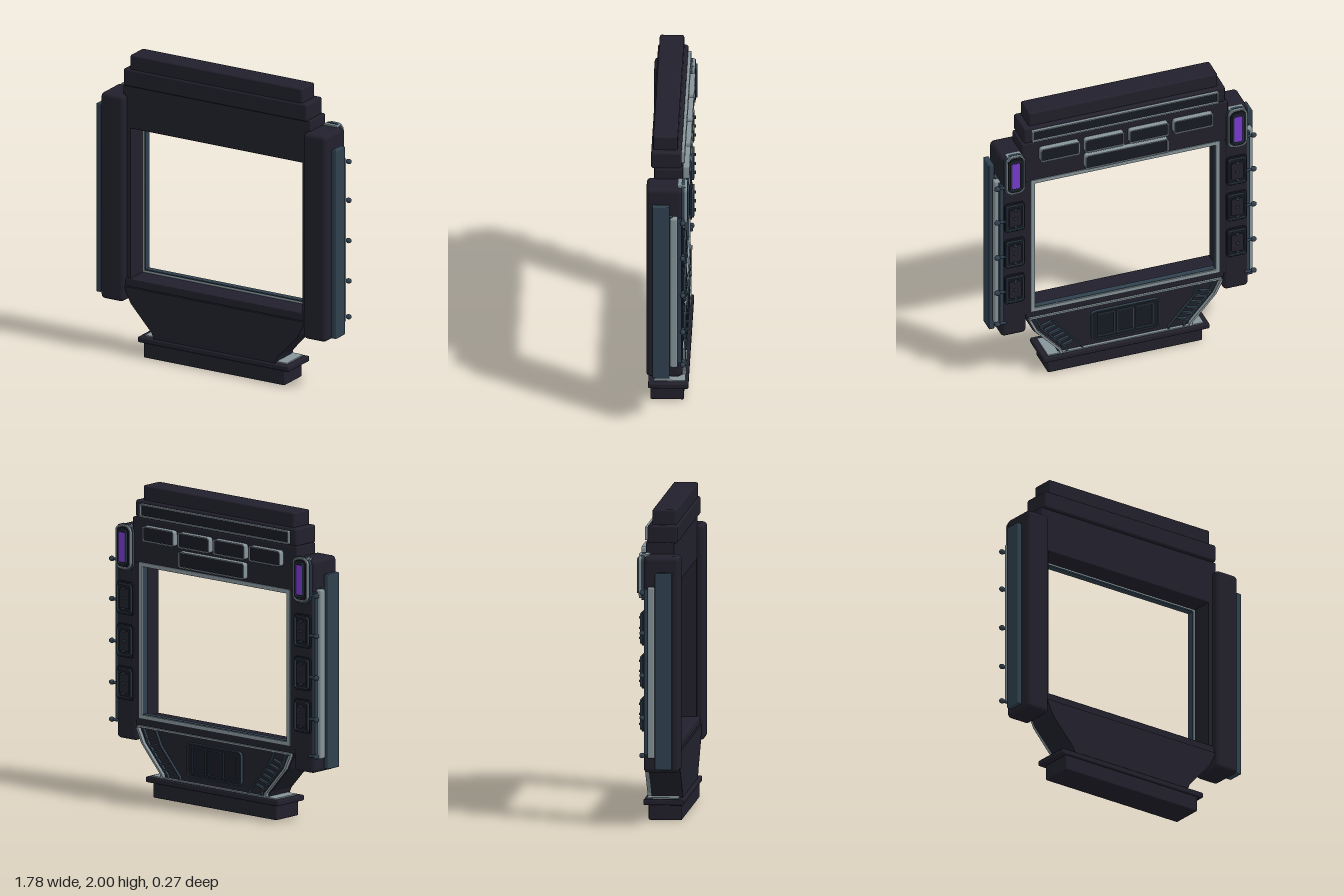
import * as THREE from 'three';
import { RoundedBoxGeometry } from 'three/addons/geometries/RoundedBoxGeometry.js';

const mat = (name, color, side = THREE.FrontSide) => new THREE.MeshStandardMaterial({ name, color, side });

export function createModel() {
  const M = {
    body: mat('dark body', 0x21202c),
    panel: mat('panel black', 0x171a22),
    slate: mat('slate blue', 0x30404e),
    grey: mat('light grey', 0x86949a),
    glow: mat('purple glow', 0x7a3ad2),
  };
  const root = new THREE.Group();
  root.name = 'displayFrame';

  const add = (name, geo, m, x = 0, y = 0, z = 0, parent = root) => {
    const mesh = new THREE.Mesh(geo, m);
    mesh.name = name;
    mesh.position.set(x, y, z);
    parent.add(mesh);
    return mesh;
  };
  // Box given by its limits, with optional rounded edges
  const box = (name, m, x0, x1, y0, y1, z0, z1, r = 0, parent = root) => {
    const s = [x1 - x0, y1 - y0, z1 - z0];
    const geo = r ? new RoundedBoxGeometry(...s, 3, r) : new THREE.BoxGeometry(...s);
    return add(name, geo, m, (x0 + x1) / 2, (y0 + y1) / 2, (z0 + z1) / 2, parent);
  };
  const roundRect = (w, h, r, P = THREE.Shape) => {
    const s = new P(), a = w / 2, b = h / 2;
    s.moveTo(-a + r, -b);
    s.lineTo(a - r, -b); s.absarc(a - r, -b + r, r, -Math.PI / 2, 0);
    s.lineTo(a, b - r); s.absarc(a - r, b - r, r, 0, Math.PI / 2);
    s.lineTo(-a + r, b); s.absarc(-a + r, b - r, r, Math.PI / 2, Math.PI);
    s.lineTo(-a, -b + r); s.absarc(-a + r, -b + r, r, Math.PI, Math.PI * 1.5);
    return s;
  };
  const extrude = (shape, depth) => new THREE.ExtrudeGeometry(shape, { depth, bevelEnabled: false, curveSegments: 5 });
  // Rounded plate or rim spanning z0 to z1
  const plate = (name, m, x, y, w, h, r, z0, z1, parent = root) =>
    add(name, extrude(roundRect(w, h, r), z1 - z0), m, x, y, z0, parent);
  const rim = (name, m, x, y, w, h, r, t, z0, z1, parent = root) => {
    const s = roundRect(w, h, r);
    s.holes.push(roundRect(w - 2 * t, h - 2 * t, Math.max(r - t, 0.002), THREE.Path));
    return add(name, extrude(s, z1 - z0), m, x, y, z0, parent);
  };
  const poly = (pts) => new THREE.Shape(pts.map(([x, y]) => new THREE.Vector2(x, y)));

  // Stepped header
  box('topCap', M.body, -0.637, 0.637, 1.895, 2, -0.055, 0.1, 0.012);
  box('upperBeam', M.body, -0.68, 0.68, 1.79, 1.905, -0.08, 0.112, 0.014);
  box('header', M.body, -0.695, 0.695, 1.503, 1.795, -0.09, 0.09, 0.008);
  rim('upperBeamRim', M.grey, 0, 1.845, 1.26, 0.085, 0.008, 0.009, -0.1, -0.078);
  plate('upperBeamInset', M.panel, 0, 1.845, 1.25, 0.075, 0.006, -0.086, -0.078);

  // Header panels on the back
  const headerPanel = (x, y, w, h) => {
    rim('headerPanelRim', M.grey, x, y, w, h, 0.018, 0.008, -0.128, -0.088);
    plate('headerPanel', M.panel, x, y, w - 0.014, h - 0.014, 0.012, -0.12, -0.088);
  };
  [-0.45, -0.15, 0.15, 0.45].forEach((x) => headerPanel(x, 1.705, 0.265, 0.1));
  headerPanel(0, 1.58, 0.56, 0.105);

  // Trim lining the opening
  rim('openingTrim', M.grey, 0, 1.003, 1.276, 1.012, 0.004, 0.026, -0.095, -0.055);
  rim('openingInnerLine', M.slate, 0, 1.003, 1.236, 0.972, 0.003, 0.009, -0.085, -0.045);
  box('sill', M.body, -0.668, 0.668, 0.45, 0.5, -0.085, 0.11, 0.006);
  box('sillBackTrim', M.grey, -0.65, 0.65, 0.44, 0.452, -0.097, 0.1);

  // Columns, mirrored
  for (const s of [-1, 1]) {
    const g = new THREE.Group();
    g.name = s > 0 ? 'leftColumn' : 'rightColumn';
    root.add(g);
    const sbox = (name, m, x0, x1, ...rest) =>
      box(name, m, Math.min(s * x0, s * x1), Math.max(s * x0, s * x1), ...rest, g);
    sbox('jamb', M.body, 0.637, 0.7, 0.48, 1.52, -0.085, 0.09, 0);
    sbox('column', M.body, 0.665, 0.835, 0.345, 1.725, -0.09, 0.138, 0.028);
    sbox('sideBlade', M.slate, 0.853, 0.89, 0.37, 1.63, -0.012, 0.098, 0.006);
    sbox('bladeMount', M.slate, 0.825, 0.858, 0.44, 1.54, -0.03, 0.02, 0);
    sbox('sideRod', M.grey, 0.828, 0.872, 0.44, 1.535, -0.062, -0.014, 0.012);
    sbox('rearEdge', M.slate, 0.822, 0.845, 0.46, 1.52, -0.085, -0.06, 0);

    // Lamp
    const x = s * 0.75;
    plate('lampBase', M.slate, x, 1.59, 0.14, 0.3, 0.05, -0.105, -0.085, g);
    rim('lampRim', M.grey, x, 1.595, 0.125, 0.285, 0.045, 0.009, -0.122, -0.1, g);
    plate('lampHousing', M.panel, x, 1.595, 0.1, 0.255, 0.035, -0.125, -0.1, g);
    rim('lampBezel', M.slate, x, 1.595, 0.075, 0.225, 0.02, 0.009, -0.135, -0.12, g);
    plate('lamp', M.glow, x, 1.595, 0.052, 0.19, 0.006, -0.131, -0.124, g);
    plate('columnTopTrim', M.grey, x, 1.725, 0.1, 0.02, 0.006, -0.11, -0.06, g);

    // Key panels and outer knobs
    for (const y of [1.26, 0.985, 0.71]) {
      plate('keyBase', M.panel, x, y, 0.135, 0.215, 0.02, -0.102, -0.085, g);
      rim('keyRim', M.slate, x, y, 0.12, 0.19, 0.018, 0.008, -0.115, -0.1, g);
      plate('key', M.body, x, y, 0.08, 0.13, 0.012, -0.112, -0.1, g);
      for (const dy of [-0.065, 0, 0.065]) plate('keyDot', M.slate, x, y + dy, 0.022, 0.014, 0.004, -0.124, -0.11, g);
    }
    for (const y of [1.5, 1.24, 0.97, 0.7, 0.46]) {
      const stem = add('knobStem', new THREE.CylinderGeometry(0.009, 0.009, 0.06, 10), M.slate, s * 0.835, y, -0.095, g);
      stem.rotation.z = Math.PI / 2;
      const knob = add('knob', new THREE.SphereGeometry(0.017, 12, 8), M.slate, s * 0.865, y, -0.095, g);
      knob.scale.x = 1.2;
    }

    // Skirt edge trim and ladder ribs on the back
    const edge = [[0.655, 0.44], [0.61, 0.345], [0.45, 0.165], [0.445, 0.14]];
    const strip = (o, t) => poly([...edge.map(([a, b]) => [s * (a - o), b]),
      ...edge.map(([a, b]) => [s * (a - o - t), b]).reverse()]);
    add('skirtTrim', extrude(strip(0, 0.018), 0.03), M.grey, 0, 0, -0.105, g);
    add('skirtLadderRail', extrude(strip(0.045, 0.012), 0.02), M.slate, 0, 0, -0.098, g);
    add('skirtLadderRail', extrude(strip(0.15, 0.01), 0.02), M.slate, 0, 0, -0.098, g);
    for (let i = 0; i < 6; i++) {
      const y = 0.2 + i * 0.036;
      const rib = plate('skirtRib', M.slate, s * (0.392 + i * 0.029), y, 0.085, 0.012, 0.003, -0.1, -0.08, g);
      rib.rotation.z = -s * 0.3;
    }
  }

  // Tapered skirt
  const half = [[0.665, 0.45], [0.662, 0.43], [0.62, 0.345], [0.465, 0.175], [0.445, 0.13]];
  add('skirt', extrude(poly([...half.map(([a, b]) => [-a, b]), ...half.slice().reverse()]), 0.2), M.body, 0, 0, -0.08);
  rim('skirtPanelRim', M.slate, 0, 0.29, 0.46, 0.22, 0.03, 0.008, -0.1, -0.078);
  plate('skirtPanel', M.panel, 0, 0.29, 0.45, 0.21, 0.026, -0.09, -0.078);
  for (const x of [-0.13, 0, 0.13]) rim('skirtCell', M.slate, x, 0.29, 0.115, 0.17, 0.012, 0.006, -0.097, -0.085);

  // Base
  box('baseTopPlate', M.grey, -0.525, 0.525, 0.13, 0.144, -0.1, 0.1);
  box('baseLedge', M.body, -0.56, 0.56, 0.1, 0.136, -0.12, 0.135, 0.008);
  box('base', M.body, -0.522, 0.522, 0, 0.105, -0.09, 0.122, 0.008);
  return root;
}
